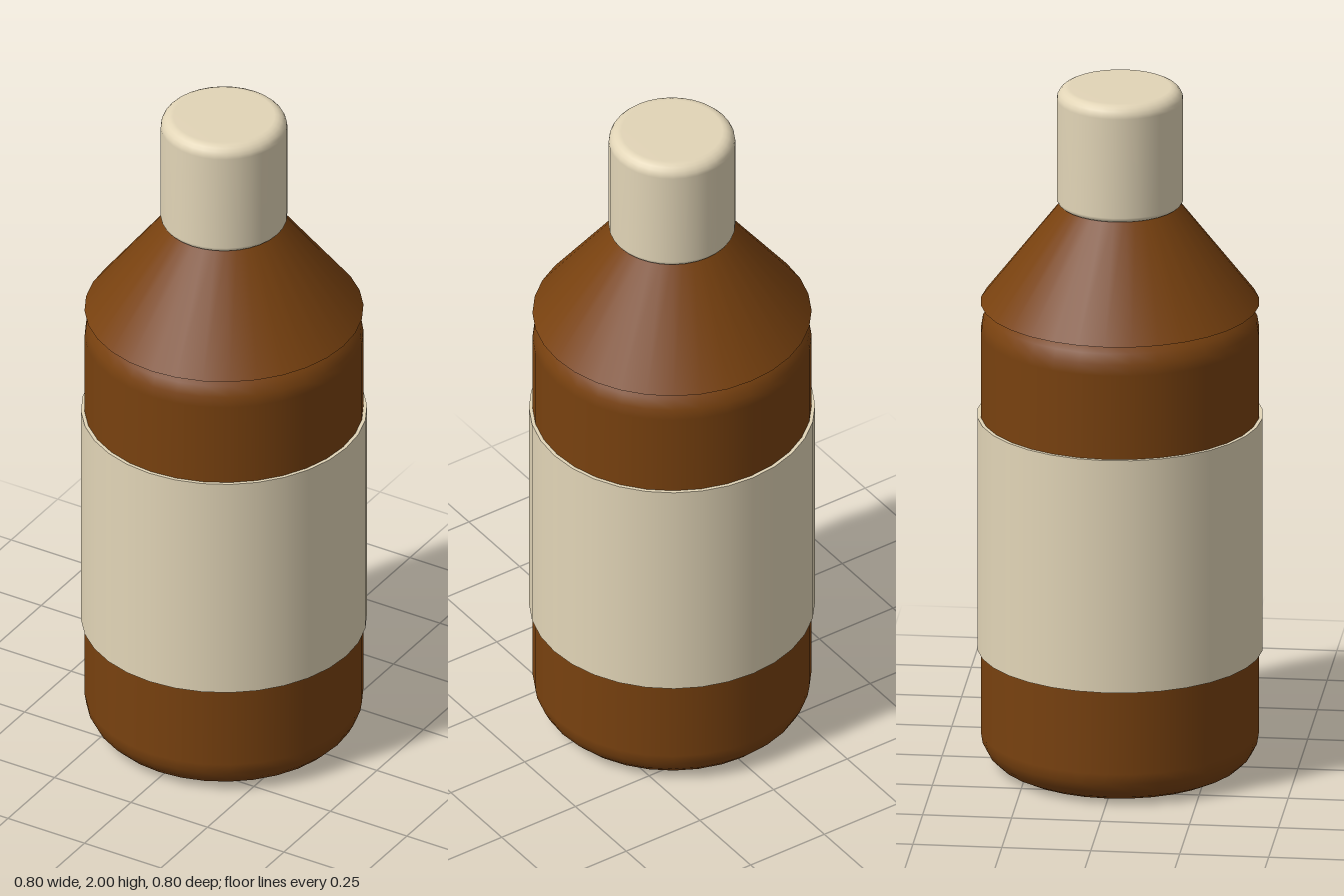
import * as THREE from 'three';

const SIDES = 32;

// Lathe profile of a closed can with rounded lower and upper rims
function roundedCan(radius, y0, y1, lowRim, topRim, steps) {
  const pts = [new THREE.Vector2(0, y0)];
  const arc = (cy, rim, from) => {
    for (let i = 0; i <= steps; i++) {
      const a = from + (i / steps) * Math.PI / 2;
      pts.push(new THREE.Vector2(radius - rim + Math.cos(a) * rim, cy + Math.sin(a) * rim));
    }
  };
  arc(y0 + lowRim, lowRim, -Math.PI / 2);
  arc(y1 - topRim, topRim, 0);
  pts.push(new THREE.Vector2(0, y1));
  return new THREE.LatheGeometry(pts, SIDES);
}

// Upright cylinder or cone given by its bottom and top heights
function tube(rTop, rBottom, y0, y1, open = false) {
  return new THREE.CylinderGeometry(rTop, rBottom, y1 - y0, SIDES, 1, open)
    .translate(0, (y0 + y1) / 2, 0);
}

export function createModel() {
  const group = new THREE.Group();
  const material = (name, color) => {
    const m = new THREE.MeshStandardMaterial({ color });
    m.name = name;
    return m;
  };
  const amber = material('amber brown', 0x78410f);
  const cream = material('cream', 0xe2d5b7);
  const green = material('leaf green', 0x2a5c1c);

  const add = (name, geometry, mat) => {
    const mesh = new THREE.Mesh(geometry, mat);
    mesh.name = name;
    group.add(mesh);
  };

  // Bottle: rounded body with a conical shoulder overhanging its upper rim
  add('body', roundedCan(0.39, 0, 1.38, 0.1, 0.1, 5), amber);
  add('shoulder', tube(0.155, 0.39, 1.365, 1.67), amber);

  // Printed band lying flush in the paper label
  add('labelBand', tube(0.39999, 0.39999, 0.8, 0.96, true), green);
  add('label', tube(0.4, 0.4, 0.345, 1.033), cream);

  // Screw cap with softened rims
  add('cap', roundedCan(0.177, 1.657, 2, 0.015, 0.035, 5), cream);

  return group;
}
